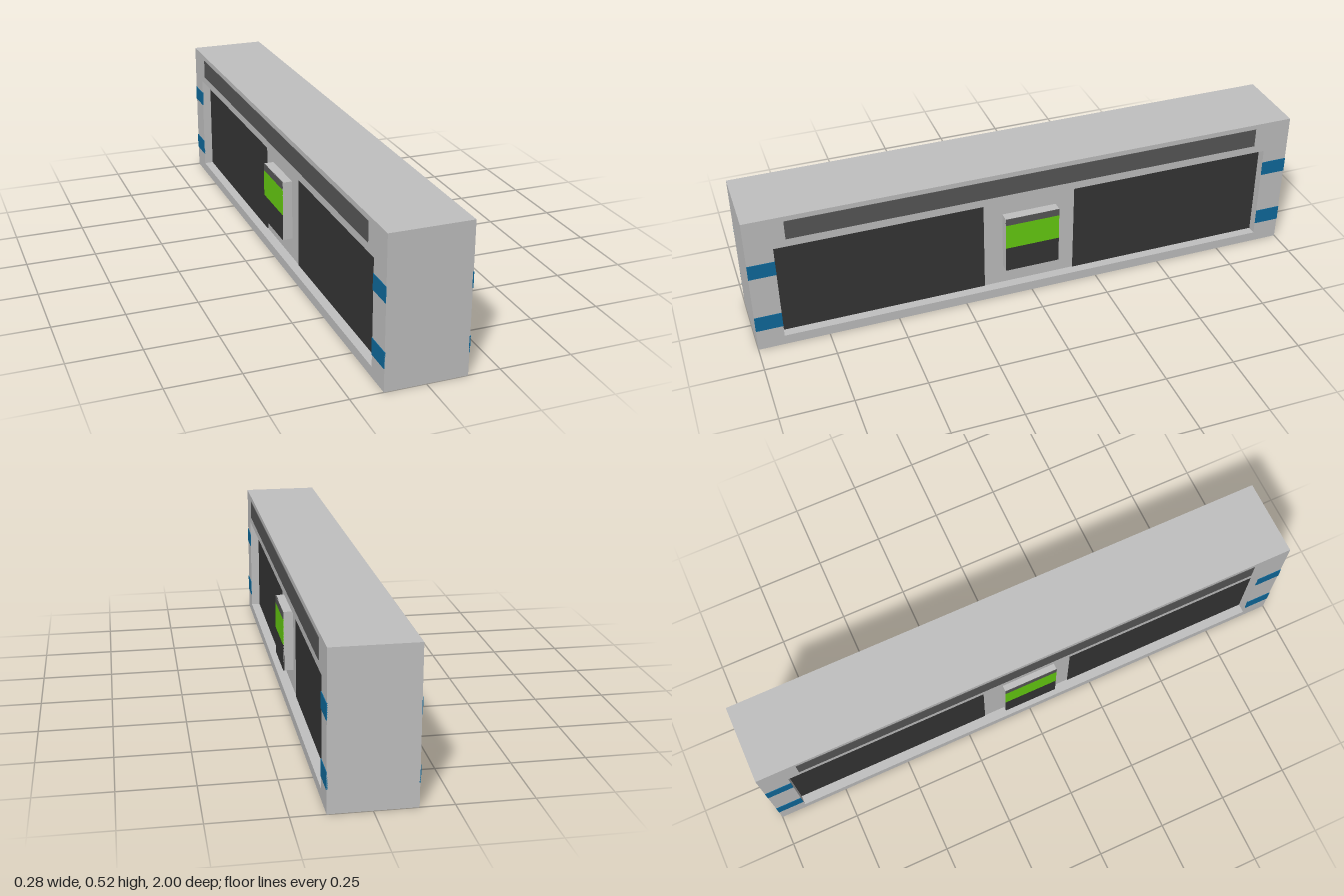
import * as THREE from 'three';

const mat = (name, color) => new THREE.MeshStandardMaterial({ name, color });

export function createModel() {
  const lightGrey = mat('lightGrey', 0xc0c0c0);
  const midGrey = mat('midGrey', 0x575757);
  const darkGrey = mat('darkGrey', 0x353535);
  const green = mat('green', 0x66cc11);
  const blue = mat('blue', 0x0f6a9c);

  const HALF = 0.14;          // outer face
  const DEPTH = 0.035;        // depth of the recess
  const INNER = HALF - DEPTH; // recessed face
  const THIN = 0.004;

  const model = new THREE.Group();
  model.name = 'panelBlock';

  function box(parent, name, material, x0, x1, y0, y1, z0, z1) {
    const mesh = new THREE.Mesh(new THREE.BoxGeometry(x1 - x0, y1 - y0, z1 - z0), material);
    mesh.position.set((x0 + x1) / 2, (y0 + y1) / 2, (z0 + z1) / 2);
    mesh.name = name;
    parent.add(mesh);
    return mesh;
  }

  // thin painted plate centred on a plane facing +x
  const plate = (parent, name, material, x, y0, y1, z0, z1) =>
    box(parent, name, material, x - THIN / 2, x + THIN / 2, y0, y1, z0, z1);

  // solid middle of the body
  box(model, 'core', lightGrey, -INNER, INNER, 0, 0.52, -1, 1);

  function rect(PathType, w, y0, y1) {
    const p = new PathType();
    p.moveTo(-w, y0);
    p.lineTo(w, y0);
    p.lineTo(w, y1);
    p.lineTo(-w, y1);
    p.closePath();
    return p;
  }

  function createSide(name) {
    const side = new THREE.Group();
    side.name = name;

    // raised frame around the recess
    const shape = rect(THREE.Shape, 1, 0, 0.52);
    shape.holes.push(rect(THREE.Path, 0.906, 0.036, 0.402));
    const frame = new THREE.Mesh(
      new THREE.ExtrudeGeometry(shape, { depth: DEPTH, bevelEnabled: false }), lightGrey);
    frame.name = 'frame';
    frame.rotation.y = Math.PI / 2;
    frame.position.x = INNER;
    side.add(frame);

    // long strip above the recess
    plate(side, 'topStrip', midGrey, HALF, 0.432, 0.502, -0.862, 0.862);

    // dark panels and blue bands at both ends
    for (const s of [-1, 1]) {
      const span = (a, b) => (s > 0 ? [a, b] : [-b, -a]);
      plate(side, 'darkPanel', darkGrey, INNER, 0.036, 0.402, ...span(0.17, 0.906));
      plate(side, 'lowerBand', blue, HALF, 0.08, 0.137, ...span(0.906, 1));
      plate(side, 'upperBand', blue, HALF, 0.298, 0.352, ...span(0.906, 1));
    }

    // central display box with its coloured face
    box(side, 'displayBox', lightGrey, INNER, HALF, 0.11, 0.33, -0.1, 0.1);
    plate(side, 'displayBase', darkGrey, HALF, 0.11, 0.207, -0.1, 0.1);
    plate(side, 'displayScreen', green, HALF, 0.207, 0.304, -0.1, 0.1);
    plate(side, 'displayTop', midGrey, HALF, 0.304, 0.33, -0.1, 0.1);
    return side;
  }

  const left = createSide('leftSide');
  const right = createSide('rightSide');
  right.rotation.y = Math.PI;
  model.add(left, right);
  return model;
}
